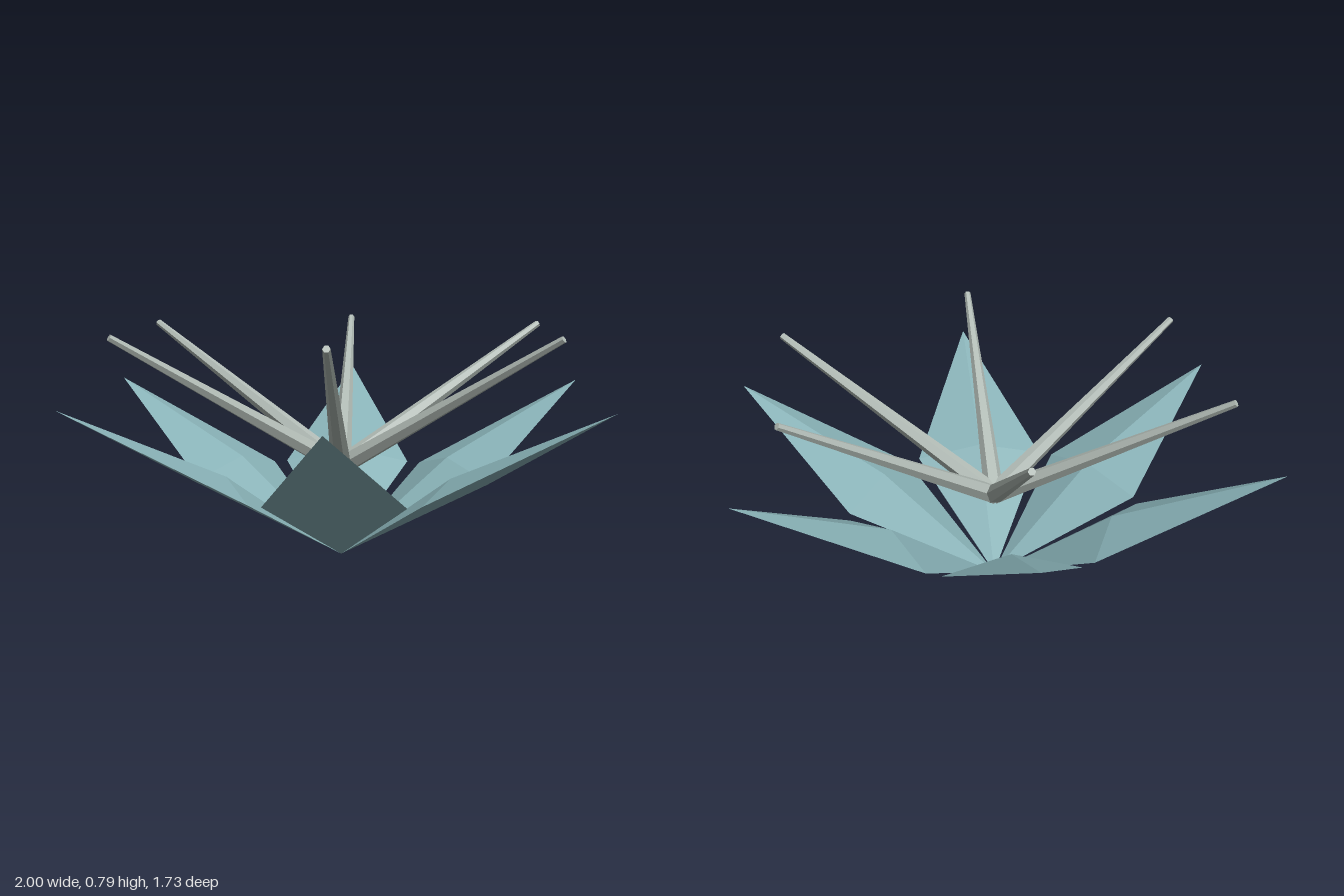
import * as THREE from 'three';

const petalMaterial = new THREE.MeshStandardMaterial({ color: 0x88b1b6, flatShading: true });
petalMaterial.name = 'pale teal';
const spikeMaterial = new THREE.MeshStandardMaterial({ color: 0xb0bab4, flatShading: true });
spikeMaterial.name = 'warm grey';

const COUNT = 6;

// Kite-shaped petal along +x: flat underside, low four-sided peak on top
function petalGeometry() {
  const points = [
    0, 0, 0, // base
    0.45, 0.255, 0.23, // near corner
    1, 0.566, 0, // tip
    0.45, 0.255, -0.23, // far corner
    0.43, 0.31, 0, // raised peak
  ];
  const faces = [0, 1, 4, 1, 2, 4, 2, 3, 4, 3, 0, 4, 0, 2, 1, 0, 3, 2];
  const indexed = new THREE.BufferGeometry();
  indexed.setAttribute('position', new THREE.Float32BufferAttribute(points, 3));
  indexed.setIndex(faces);
  const geometry = indexed.toNonIndexed();
  geometry.computeVertexNormals();
  return geometry;
}

// Tapered six-sided spike rising outward along +x at 30 degrees
function spikeGeometry() {
  const length = 0.945;
  const geometry = new THREE.CylinderGeometry(0.012, 0.035, length, 6);
  geometry.translate(0, length / 2, 0);
  geometry.rotateZ(-Math.PI / 3);
  geometry.translate(0, 0.312, 0);
  return geometry;
}

// Evenly spaced ring of copies about the vertical axis
function ring(name, geometry, material) {
  const group = new THREE.Group();
  group.name = name + 's';
  for (let i = 0; i < COUNT; i++) {
    const mesh = new THREE.Mesh(geometry, material);
    mesh.name = name;
    mesh.rotation.y = (i / COUNT) * Math.PI * 2;
    group.add(mesh);
  }
  return group;
}

export function createModel() {
  const model = new THREE.Group();
  model.name = 'flower';
  model.add(ring('petal', petalGeometry(), petalMaterial));
  model.add(ring('spike', spikeGeometry(), spikeMaterial));
  return model;
}
